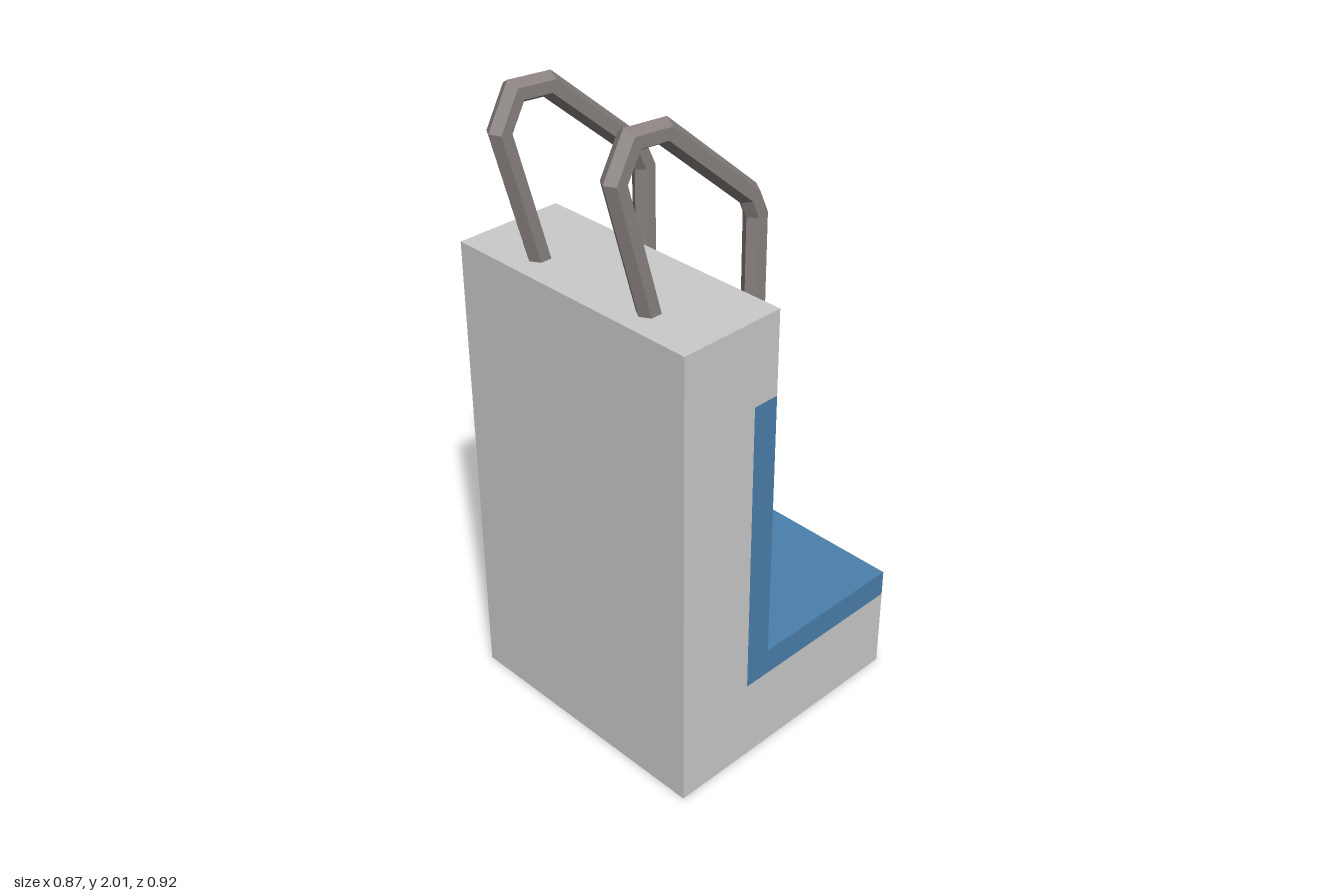
import * as THREE from 'three';

const HALF = 0.435; // half width of the block
const grey = new THREE.MeshStandardMaterial({ color: 0xcccccc, side: THREE.DoubleSide });
const blue = new THREE.MeshStandardMaterial({ color: 0x4a80ad, side: THREE.DoubleSide });
const metal = new THREE.MeshStandardMaterial({ color: 0x8a8381, side: THREE.DoubleSide, flatShading: true });

function add(parent, name, geometry, material) {
  const mesh = new THREE.Mesh(geometry, material);
  mesh.name = name;
  parent.add(mesh);
  return mesh;
}

// Full-width panel between two [z, y] points, facing the left of its direction of travel
function panel([z0, y0], [z1, y1]) {
  const g = new THREE.PlaneGeometry(2 * HALF, Math.hypot(z1 - z0, y1 - y0));
  g.rotateX(Math.atan2(z1 - z0, y1 - y0));
  return g.translate(0, (y0 + y1) / 2, (z0 + z1) / 2);
}

// Flat side wall from a [z, y] outline, on the left (+1) or right (-1)
function sideWall(outline, side) {
  const shape = new THREE.Shape(outline.map(([z, y]) => new THREE.Vector2(-side * z, y)));
  return new THREE.ShapeGeometry(shape).rotateY(side * Math.PI / 2).translate(side * HALF, 0, 0);
}

// Hexagonal pipe with mitred corners along a [z, y] path, both ends cut level
function mitredPipe(path, radius) {
  const last = path.length - 1;
  const normals = path.slice(1).map(([z, y], i) => {
    const dz = z - path[i][0], dy = y - path[i][1];
    return new THREE.Vector2(dy, -dz).normalize();
  });
  const mitres = path.map((_, i) => {
    if (i === 0) return new THREE.Vector2(1 / normals[0].x, 0);
    if (i === last) return new THREE.Vector2(1 / normals[last - 1].x, 0);
    const a = normals[i - 1], b = normals[i];
    return a.clone().add(b).divideScalar(1 + a.dot(b));
  });
  const g = new THREE.CylinderGeometry(radius, radius, 1, 6, last, true);
  const pos = g.attributes.position;
  for (let v = 0; v < pos.count; v++) {
    const i = last - Math.floor(v / 7), offset = pos.getZ(v);
    pos.setY(v, path[i][1] + mitres[i].y * offset);
    pos.setZ(v, path[i][0] + mitres[i].x * offset);
  }
  g.computeVertexNormals();
  return g;
}

export function createModel() {
  const model = new THREE.Group();
  model.name = 'poolLadderBlock';

  // Hollow L-shaped block, open underneath, with a blue lining on the step
  const block = new THREE.Group();
  block.name = 'block';
  model.add(block);
  const profile = [[0.41, 0], [0.41, 1.487], [0.065, 1.487], [0.065, 1.225],
    [0.065, 0.35], [-0.46, 0.35], [-0.46, 0.265], [-0.46, 0]];
  const panels = [['frontWall', grey], ['topDeck', grey], ['upperBackWall', grey],
    ['poolWall', blue], ['poolFloor', blue], ['poolFloorEdge', blue], ['baseBackWall', grey]];
  panels.forEach(([name, mat], i) => add(block, name, panel(profile[i], profile[i + 1]), mat));

  // Side walls: grey body and blue L-shaped band
  const seam = [[0.15, 1.225], [0.15, 0.265]];
  const body = [...profile.slice(0, 4), ...seam, ...profile.slice(6)];
  const band = [...profile.slice(3, 7), seam[1], seam[0]];
  for (const side of [1, -1]) {
    const label = side > 0 ? 'left' : 'right';
    add(block, label + 'SideWall', sideWall(body, side), grey);
    add(block, label + 'LiningBand', sideWall(band, side), blue);
  }

  // Ladder rails curving over the deck
  const ladder = new THREE.Group();
  ladder.name = 'ladder';
  model.add(ladder);
  const rail = mitredPipe([[-0.073, 0.35], [-0.073, 1.638], [-0.045, 1.70], [0.264, 1.968],
    [0.374, 1.977], [0.427, 1.882], [0.317, 1.487]], 0.034);
  for (const side of [1, -1]) {
    add(ladder, side > 0 ? 'leftRail' : 'rightRail', rail, metal).position.x = side * 0.213;
  }

  // Flat rungs
  const rung = new THREE.BoxGeometry(0.4, 0.022, 0.066);
  for (let i = 0; i < 4; i++) {
    add(ladder, 'rung' + (i + 1), rung, metal).position.set(0, 0.775 + i * 0.178, -0.073);
  }
  return model;
}
